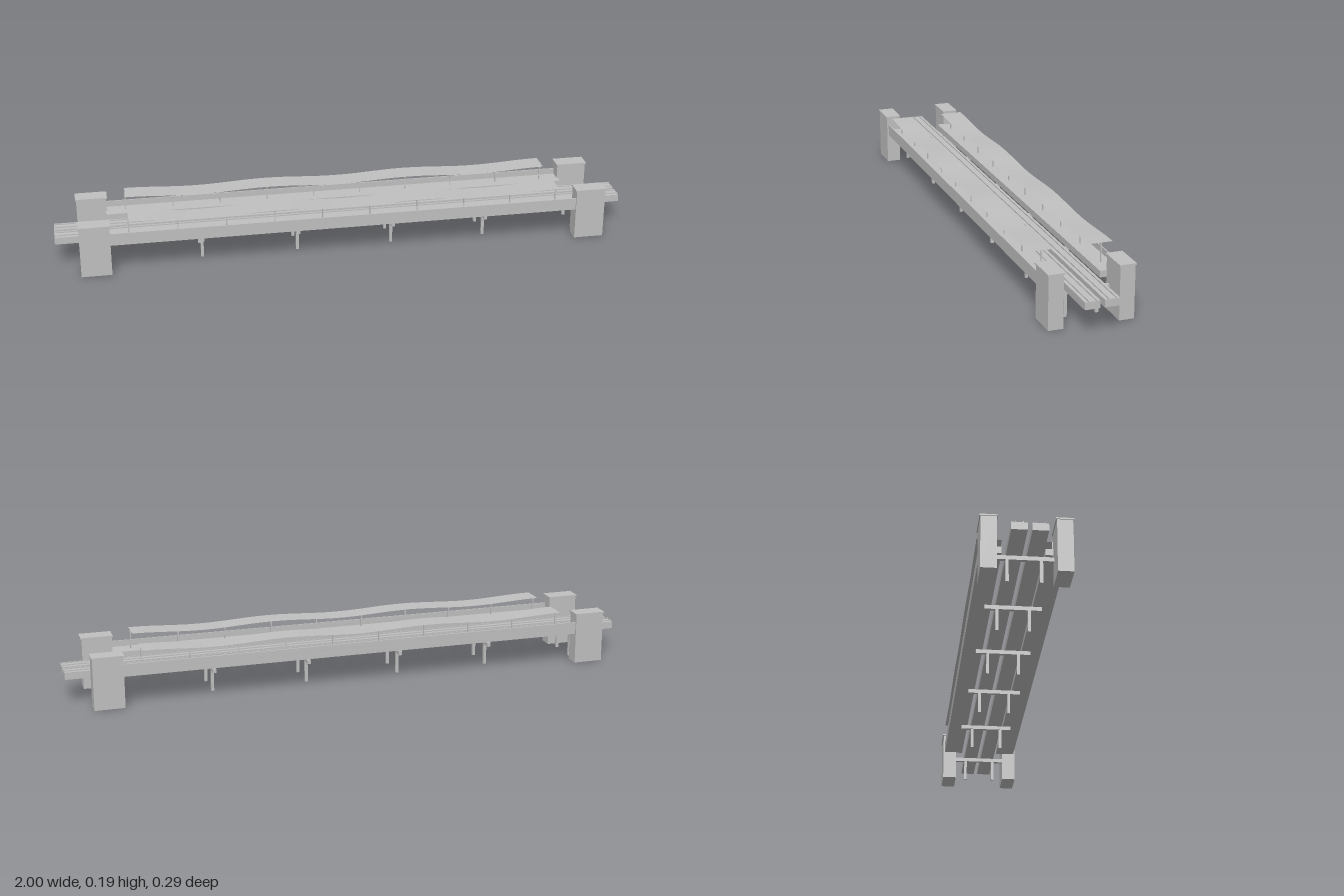
import * as THREE from 'three';

export function createModel() {
  const model = new THREE.Group();
  model.name = 'elevatedStation';

  const concrete = new THREE.MeshStandardMaterial({ color: 0xc0c0c0 });
  concrete.name = 'pale grey concrete';
  concrete.side = THREE.DoubleSide;

  // Box given by its limits on each axis
  function box(name, [x0, x1], [y0, y1], [z0, z1]) {
    const mesh = new THREE.Mesh(new THREE.BoxGeometry(x1 - x0, y1 - y0, Math.abs(z1 - z0)), concrete);
    mesh.position.set((x0 + x1) / 2, (y0 + y1) / 2, (z0 + z1) / 2);
    mesh.name = name;
    model.add(mesh);
    return mesh;
  }

  // Gently waved canopy height along the platform
  const canopyHeight = (x) => 0.1885 + 0.0045 * Math.cos((x + 0.75) * Math.PI * 4);

  for (const s of [1, -1]) {
    // Track deck with its two rails
    box('trackDeck', [-1, 1], [0.089, 0.114], [s * 0.007, s * 0.057]);
    for (const z of [0.02, 0.045]) {
      box('rail', [-1, 1], [0.114, 0.118], [s * (z - 0.001), s * (z + 0.001)]);
    }

    // Platform floor and outer parapet
    box('platformFloor', [-0.82, 0.82], [0.107, 0.129], [s * 0.068, s * 0.136]);
    box('platformParapet', [-0.82, 0.82], [0.129, 0.15], [s * 0.132, s * 0.136]);

    // Waved canopy sheet
    const sheet = new THREE.PlaneGeometry(1.5, 0.08, 36, 1);
    sheet.rotateX(-Math.PI / 2);
    const p = sheet.attributes.position;
    for (let i = 0; i < p.count; i++) p.setY(i, canopyHeight(p.getX(i)));
    sheet.computeVertexNormals();
    const canopy = new THREE.Mesh(sheet, concrete);
    canopy.position.z = s * 0.1;
    canopy.name = 'canopy';
    model.add(canopy);

    // Canopy posts
    for (let i = 0; i < 10; i++) {
      const x = -0.75 + i / 6;
      box('canopyPost', [x - 0.002, x + 0.002], [0.129, canopyHeight(x)], [s * 0.098, s * 0.102]);
    }

    // Stair towers with thin caps
    for (const e of [-1, 1]) {
      const x = e * 0.867;
      box('stairTower', [x - 0.052, x + 0.052], [0, 0.178], [s * 0.092, s * 0.142]);
      box('towerCap', [x - 0.055, x + 0.055], [0.178, 0.183], [s * 0.089, s * 0.145]);
    }
  }

  // Portal frames: two legs under a cross beam
  for (let i = 0; i < 6; i++) {
    const x = (i - 2.5) / 3;
    box('crossBeam', [x - 0.006, x + 0.006], [0.075, 0.089], [-0.094, 0.094]);
    for (const s of [1, -1]) {
      box('supportLeg', [x - 0.005, x + 0.005], [0, 0.075], [s * 0.048, s * 0.058]);
    }
  }

  return model;
}
